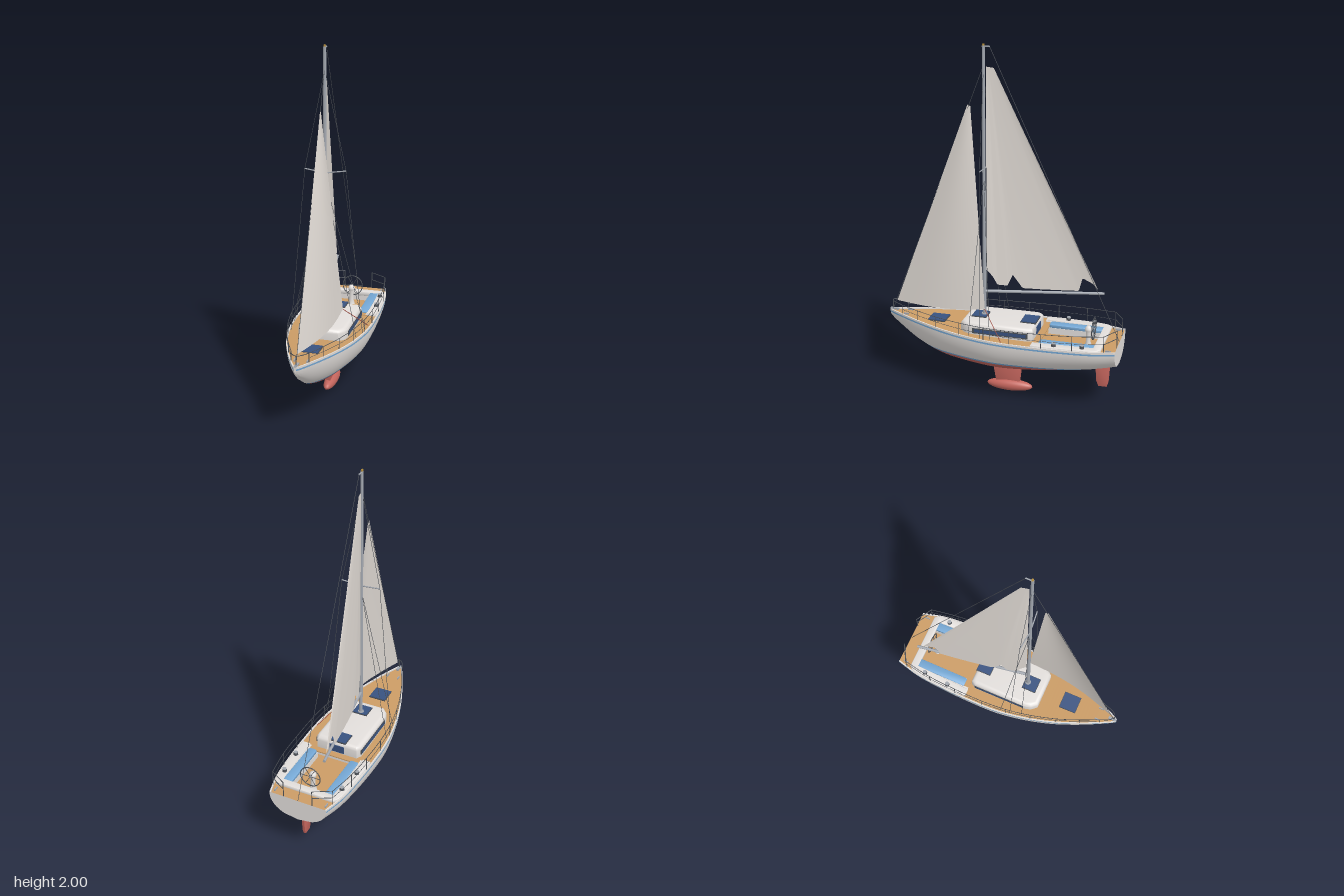
import * as THREE from 'three';
import { toCreasedNormals } from 'three/addons/utils/BufferGeometryUtils.js';

const mat = (name, color, side = THREE.FrontSide) => {
  const m = new THREE.MeshStandardMaterial({ color, side });
  m.name = name;
  return m;
};

// Hull lines along z: half-width, keel height and sheer height
const Z = [-.68, -.55, -.4, -.2, 0, .2, .35, .5, .6, .66, .68];
const line = (v) => {
  const c = new THREE.CubicInterpolant(Z, v, 1);
  return (z) => c.evaluate(z)[0];
};
const width = line([.173, .205, .22, .228, .224, .193, .152, .095, .05, .02, .008]);
const keelY = line([.257, .23, .205, .18, .168, .178, .2, .262, .33, .378, .4]);
const sheer = line([.39, .39, .39, .391, .394, .402, .411, .421, .428, .432, .434]);
const railY = (z) => .468 + .035 * z * z;
const V = (x, y, z) => new THREE.Vector3(x, y, z);

// Surface from a rule f(i, j); one geometry group per column j, negative skips a face
function grid(nu, nv, f, matOf = () => 0) {
  const pos = [], idx = [], g = new THREE.BufferGeometry();
  for (let i = 0; i < nu; i++) for (let j = 0; j < nv; j++) pos.push(...f(i, j));
  for (let j = 0; j < nv - 1; j++) {
    const start = idx.length;
    for (let i = 0; i < nu - 1; i++) {
      if (matOf(j, i) < 0) continue;
      const a = i * nv + j, b = a + nv;
      idx.push(a, b, a + 1, b, b + 1, a + 1);
    }
    g.addGroup(start, idx.length - start, matOf(j, 0));
  }
  g.setAttribute('position', new THREE.Float32BufferAttribute(pos, 3));
  g.setIndex(idx);
  g.computeVertexNormals();
  return g;
}

// Half section at z from inner toe rail down to the keel: [x, y]
function halfSection(z) {
  const w = width(z), k = keelY(z), s = sheer(z);
  const p = 2.2 - .6 * Math.max(0, z / .68);
  const at = (y) => {
    const t = Math.min(1, Math.max(0, (y - k) / (s - k)));
    return [w * Math.pow(Math.max(0, 1 - Math.pow(1 - t, p)), 1 / p), y];
  };
  const inner = Math.max(0, w - .008), pts = [[inner, s - .012], [inner, s], at(s), at(s - .011), at(s - .021)];
  const top = Math.max(k, .25), mid = Math.max(k, .237);
  for (let i = 1; i <= 8; i++) pts.push(at(s - .021 + (top - s + .021) * (i / 8)));
  pts.push(at(mid));
  for (let i = 1; i <= 10; i++) pts.push(at(k + (mid - k) * (1 - i / 10) ** 2));
  return pts;
}

export function createModel() {
  const boat = new THREE.Group();
  boat.name = 'sailboat';
  const white = mat('hull white', 0xe2dedb), sailM = mat('sail cloth', 0xe0dad4, THREE.DoubleSide);
  const red = mat('antifouling red', 0xc4655d), wood = mat('teak', 0xcb9c65);
  const blue = mat('light blue', 0x76a9d6), navy = mat('navy', 0x385280);
  const metal = mat('metal', 0xa2a7af), dark = mat('dark steel', 0x4c5056);
  const gold = mat('brass', 0xb58e3c), rope = mat('rope red', 0xa0483c);

  const add = (name, geo, m, x = 0, y = 0, z = 0) => {
    const mesh = new THREE.Mesh(geo, m);
    mesh.name = name;
    mesh.position.set(x, y, z);
    boat.add(mesh);
    return mesh;
  };
  const box = (name, m, w, h, d, x, y, z) => add(name, new THREE.BoxGeometry(w, h, d), m, x, y, z);
  const rod = (name, m, a, b, r = .0013, r2 = r, seg = 8) => {
    const d = b.clone().sub(a);
    const c = add(name, new THREE.CylinderGeometry(r2, r, d.length(), seg), m);
    c.position.copy(a).addScaledVector(d, .5);
    c.quaternion.setFromUnitVectors(V(0, 1, 0), d.normalize());
  };
  const tube = (name, m, pts, r) =>
    add(name, new THREE.TubeGeometry(new THREE.CatmullRomCurve3(pts), 60, r, 6), m);
  // Plan outline [x, z] extruded upwards with a rounded edge
  const slab = (name, m, pts, y0, y1, bevel) => {
    const g = new THREE.ExtrudeGeometry(new THREE.Shape(pts.map(([x, z]) => new THREE.Vector2(x, -z))), {
      depth: y1 - y0 - 2 * bevel, bevelEnabled: bevel > 0, bevelSize: bevel, bevelThickness: bevel, bevelSegments: 4,
    });
    g.rotateX(-Math.PI / 2).translate(0, y0 + bevel, 0);
    return add(name, toCreasedNormals(g, .7), m);
  };
  const mirrorPts = (half) => [...half, ...half.map(([x, z]) => [-x, z]).reverse()];
  const rect = (x, z0, z1) => [[x, z0], [x, z1], [-x, z1], [-x, z0]];

  // Hull: white topsides, blue sheer and waterline stripes, red bottom
  const N = 69, zAt = (i) => -.68 + .02 * i;
  const rings = Array.from({ length: N }, (_, i) => {
    const h = halfSection(zAt(i));
    return [...h, ...h.slice(0, -1).reverse().map(([x, y]) => [-x, y])];
  });
  const n = rings[0].length;
  const band = (j) => {
    const k = Math.min(j, n - 2 - j);
    return k === 3 || k === 12 ? 1 : k > 12 ? 2 : 0;
  };
  add('hull', toCreasedNormals(grid(N, n, (i, j) => [...rings[i][j], zAt(i)], band), .7), [white, blue, red]);
  const flat = (pts) => new THREE.ShapeGeometry(new THREE.Shape(pts.map((p) => new THREE.Vector2(...p))));
  add('transom', flat(rings[0].slice(1, -1)).rotateY(Math.PI), white, 0, 0, -.68);
  add('stemFace', flat(rings[N - 1].slice(1, -1)), white, 0, 0, .68);

  // Deck with an opening for the cockpit
  add('deck', grid(N, 4, (i, j) => {
    const z = zAt(i), w = Math.max(.001, width(z) - .007);
    return [[-w, -Math.min(w, .16), Math.min(w, .16), w][j], sheer(z) - .008, z];
  }, (j, i) => (j === 1 && zAt(i) > -.601 && zAt(i) < -.221 ? -1 : 0)), wood);

  // Cockpit
  slab('cockpitCoaming', white, mirrorPts([[.158, -.562], [.172, -.222], [.21, -.222], [.212, -.3], [.207, -.42],
    [.199, -.53], [.189, -.575], [.172, -.597]]), .37, .398, .005);
  box('cockpitSole', wood, .33, .006, .39, 0, .335, -.41);
  box('cockpitAftWall', white, .32, .06, .035, 0, .362, -.584);
  box('cockpitBulkhead', white, .32, .042, .01, 0, .359, -.217);
  box('bridgeDeck', wood, .33, .006, .034, 0, .383, -.235);
  for (const s of [1, -1]) {
    box('cockpitSide', white, .012, .055, .36, s * .162, .362, -.4);
    box('bench', white, .056, .04, .33, s * .132, .355, -.41);
    const c = [[.112, -.566], [.148, -.566], [.152, -.56], [.154, -.262], [.15, -.254], [.114, -.254], [.11, -.262], [.108, -.56]];
    slab('cushion', blue, c.map(([x, z]) => [s * x, z]), .373, .394, .004);
    for (const [x, z] of [[.178, -.5], [.192, -.345]]) {
      add('winch', new THREE.CylinderGeometry(.011, .014, .018, 16), dark, s * x, .405, z);
      add('winchCap', new THREE.CylinderGeometry(.012, .012, .004, 16), metal, s * x, .415, z);
    }
  }

  // Steering pedestal and wheel
  const pedestal = [[.022, .335], [.014, .36], [.013, .42], [.02, .43], [.02, .442], [.012, .455], [0, .458]];
  add('steeringPedestal', new THREE.LatheGeometry(pedestal.map((p) => new THREE.Vector2(...p)), 18), white, 0, 0, -.5);
  add('steeringWheel', new THREE.TorusGeometry(.061, .0028, 8, 36), dark, 0, .445, -.53);
  for (let i = 0; i < 3; i++) {
    const d = V(Math.cos(i * Math.PI / 3), Math.sin(i * Math.PI / 3), 0).multiplyScalar(.06), c = V(0, .445, -.53);
    rod('wheelSpoke', dark, c.clone().sub(d), c.clone().add(d), .0016);
  }
  rod('wheelShaft', metal, V(0, .445, -.535), V(0, .445, -.5), .005);

  // Cabin, windows and hatches
  slab('cabin', white, mirrorPts([[.11, -.187], [.117, -.175], [.117, .145], [.11, .17], [.092, .19]]), .345, .456, .024);
  for (const s of [1, -1]) {
    box('cabinWindowFrame', dark, .006, .03, .32, s * .1405, .413, -.025);
    box('cabinWindow', navy, .008, .018, .3, s * .1405, .413, -.025);
  }
  box('companionwayDoor', navy, .09, .045, .006, 0, .412, -.212);
  const hatch = (x, z0, z1, y) => {
    slab('hatchFrame', dark, rect(x, z0, z1), y, y + .006, 0);
    slab('hatchGlass', navy, rect(x - .003, z0 + .003, z1 - .003), y + .004, y + .009, 0);
  };
  hatch(.055, -.21, -.12, .455);
  hatch(.046, .083, .17, .455);
  hatch(.052, .33, .435, .404);

  // Fin keel with bulb, and rudder
  const foil = (name, pts, t) => {
    const g = new THREE.ExtrudeGeometry(new THREE.Shape(pts.map(([z, y]) => new THREE.Vector2(-z, y))),
      { depth: t - .008, bevelSize: .004, bevelThickness: .004, bevelSegments: 2 });
    g.translate(0, 0, -(t - .008) / 2).rotateY(Math.PI / 2);
    add(name, toCreasedNormals(g, .7), red);
  };
  foil('finKeel', [[.055, .19], [.03, .05], [-.1, .05], [-.116, .19]], .022);
  foil('rudder', [[-.547, .25], [-.557, .13], [-.568, .105], [-.61, .105], [-.618, .13], [-.626, .25]], .018);
  add('keelBulb', new THREE.SphereGeometry(1, 28, 18), red, 0, .038, -.045).scale.set(.035, .034, .135);

  // Mast, spreaders and boom
  rod('mast', metal, V(0, .45, .105), V(0, 1.99, .105), .011, .008, 14);
  add('mastTip', new THREE.CylinderGeometry(.006, .006, .012, 12), gold, 0, 1.994, .105);
  rod('mastCrane', metal, V(0, 1.985, .105), V(0, 1.985, .068), .004);
  add('mastCollar', new THREE.CylinderGeometry(.017, .02, .014, 16), metal, 0, .462, .105);
  rod('boom', metal, V(0, .602, .1), V(-.106, .617, -.565), .009, .008, 12);

  // Standing rigging
  rod('forestay', dark, V(0, .43, .665), V(0, 1.87, .11), .0015);
  rod('backstay', dark, V(0, 1.985, .07), V(0, .385, -.675), .0015);
  for (const s of [1, -1]) {
    const tip = V(s * .115, 1.33, .095);
    rod('spreader', metal, V(0, 1.315, .105), tip, .0035);
    rod('upperShroud', dark, V(0, 1.87, .105), tip);
    rod('upperShroud', dark, tip, V(s * .208, .4, .075));
    for (const z of [.015, .145]) rod('lowerShroud', dark, V(0, 1.28, .105), V(s * (width(z) - .015), .4, z));
  }

  // Sails: foot to head, bellied to leeward
  const sail = (name, foot, head, rule) => add(name, grid(81, 31, (i, j) => {
    const u = i / 80, v = j / 30, f = u * (foot.length - 1);
    const k = Math.min(foot.length - 2, Math.floor(f)), a = foot[k], b = foot[k + 1], q = f - k;
    const lerp = THREE.MathUtils.lerp;
    const z = lerp(lerp(a[0], b[0], q), lerp(head[0][0], head[1][0], u), v);
    const y = lerp(lerp(a[1], b[1], q), lerp(head[0][1], head[1][1], u), v);
    return [rule(u, v, z), y, z];
  }), sailM);
  sail('mainsail', [[.092, .73], [.06, .69], [.035, .64], [-.02, .635], [-.05, .7], [-.105, .622], [-.2, .62],
    [-.31, .62], [-.42, .622], [-.44, .7], [-.5, .67], [-.53, .637]], [[.092, 1.878], [.05, 1.872]],
  (u, v, z) => (z - .1) * .158 - .018 * Math.sin(Math.PI * u) * (1 - v * v));
  sail('jib', [[.637, .488], [.45, .495], [.26, .508], [.075, .53]], [[.197, 1.668], [.18, 1.66]],
    (u, v) => .095 * u * (1 - v) + .03 * Math.sin(Math.PI * u) * (1 - v * v));
  rod('jibSheet', rope, V(.095, .53, .075), V(.212, .395, -.05), .002);

  // Guard rails: stanchions, two lifelines, bow pulpit and stern corners
  const edge = (s, z, y) => V(s * (width(z) - .006), y, z);
  const posts = [-.62, -.45, -.28, -.1, .05, .2, .35, .48, .59];
  for (const s of [1, -1]) {
    for (const z of posts) rod('stanchion', dark, edge(s, z, sheer(z) - .01), edge(s, z, railY(z)), .002);
    for (const k of [1, .5]) {
      const h = (z) => sheer(z) + (railY(z) - sheer(z)) * k;
      tube('lifeline', dark, posts.map((z) => edge(s, z, h(z))), k === 1 ? .0018 : .0012);
      rod('sternRail', dark, edge(s, -.62, h(-.62)), V(s * .087, h(-.675), -.676), .0022);
    }
    rod('sternPost', dark, V(s * .087, .38, -.676), V(s * .087, railY(-.675), -.676), .0025);
    box('bowCleat', metal, .006, .01, .03, s * .035, .424, .57);
    box('sternCleat', metal, .006, .01, .03, s * .155, .386, -.64);
  }
  tube('bowPulpit', dark, [edge(1, .59, railY(.59)), V(.025, .488, .645), V(0, .49, .663), V(-.025, .488, .645), edge(-1, .59, railY(.59))], .0025);
  rod('pulpitPost', dark, V(0, .43, .665), V(0, .49, .663), .0025);
  box('bowRoller', metal, .016, .01, .05, 0, .434, .655);
  return boat;
}
